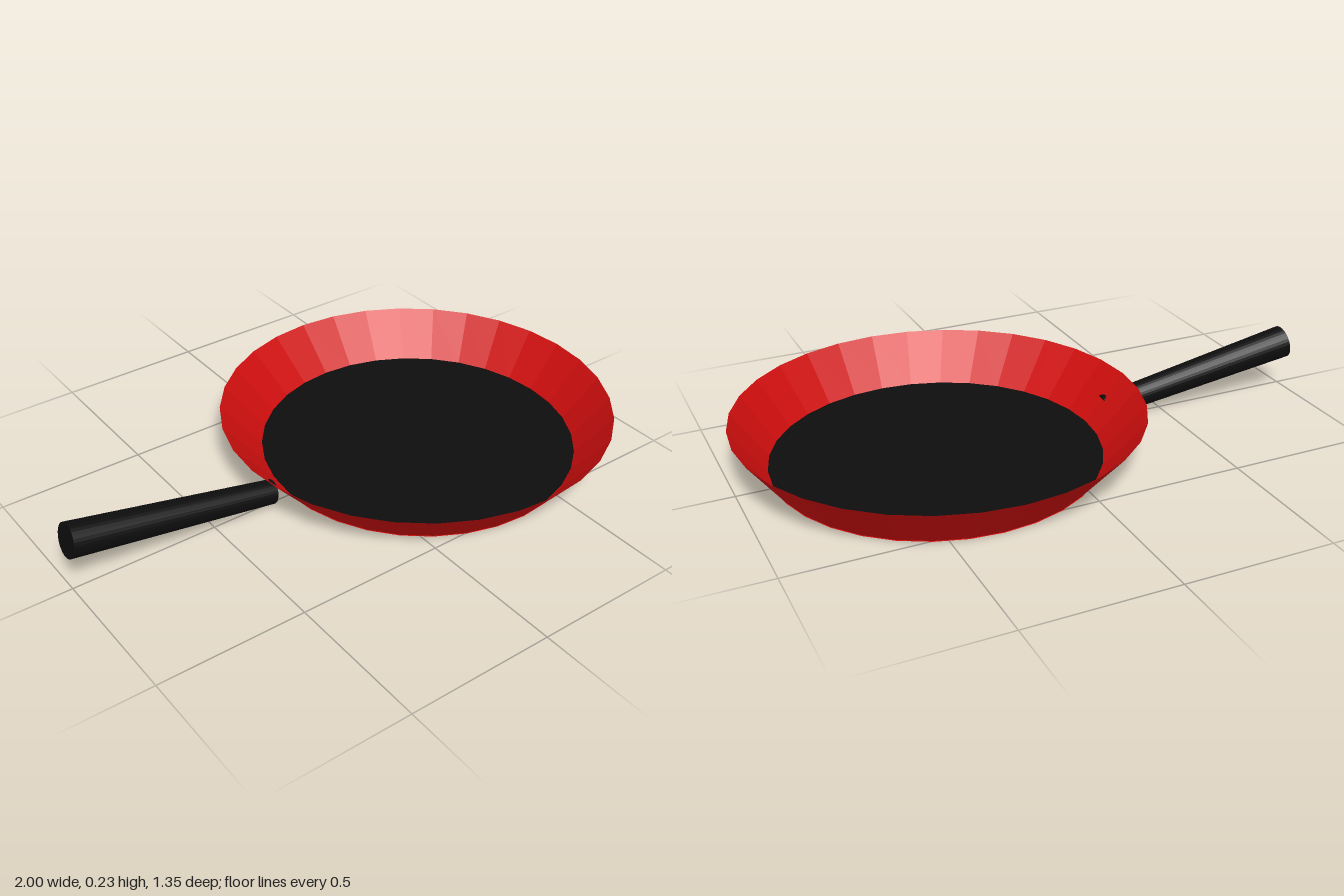
import * as THREE from 'three';

const SIDES = 32;

function material(name, color, side = THREE.FrontSide) {
  return new THREE.MeshStandardMaterial({ name, color, side, flatShading: true });
}

export function createModel() {
  const red = material('red enamel', 0xd00e0e, THREE.DoubleSide);
  const black = material('black coating', 0x0d0d0d);
  const pan = new THREE.Group();
  pan.name = 'fryingPan';

  const add = (name, geometry, mat, x, y, z) => {
    const mesh = new THREE.Mesh(geometry, mat);
    mesh.name = name;
    mesh.position.set(x, y, z);
    pan.add(mesh);
    return mesh;
  };

  // Thin flared wall, its foot set slightly off the rim's centre
  const wall = new THREE.CylinderGeometry(0.673, 0.545, 0.156, SIDES, 1, true);
  const p = wall.attributes.position;
  for (let i = 0; i < p.count; i++) {
    if (p.getY(i) < 0) p.setX(i, p.getX(i) + 0.013);
  }
  add('wall', wall, red, 0.323, 0.082, 0);

  // Underside and coated cooking surface
  const disc = new THREE.CircleGeometry(0.545, SIDES);
  add('underside', disc, red, 0.336, 0.001, 0).rotation.x = Math.PI / 2;
  add('cookingSurface', disc, black, 0.336, 0.007, 0).rotation.x = -Math.PI / 2;

  // Tapered handle rising outwards, its inner end just piercing the wall
  const inner = new THREE.Vector3(-0.279, 0.046, 0.001);
  const outer = new THREE.Vector3(-0.991, 0.17, -0.018);
  const axis = outer.clone().sub(inner);
  const middle = inner.clone().add(outer).multiplyScalar(0.5);
  const handle = add('handle', new THREE.CylinderGeometry(0.057, 0.041, axis.length(), SIDES),
    black, middle.x, middle.y, middle.z);
  handle.quaternion.setFromUnitVectors(new THREE.Vector3(0, 1, 0), axis.normalize());

  return pan;
}
